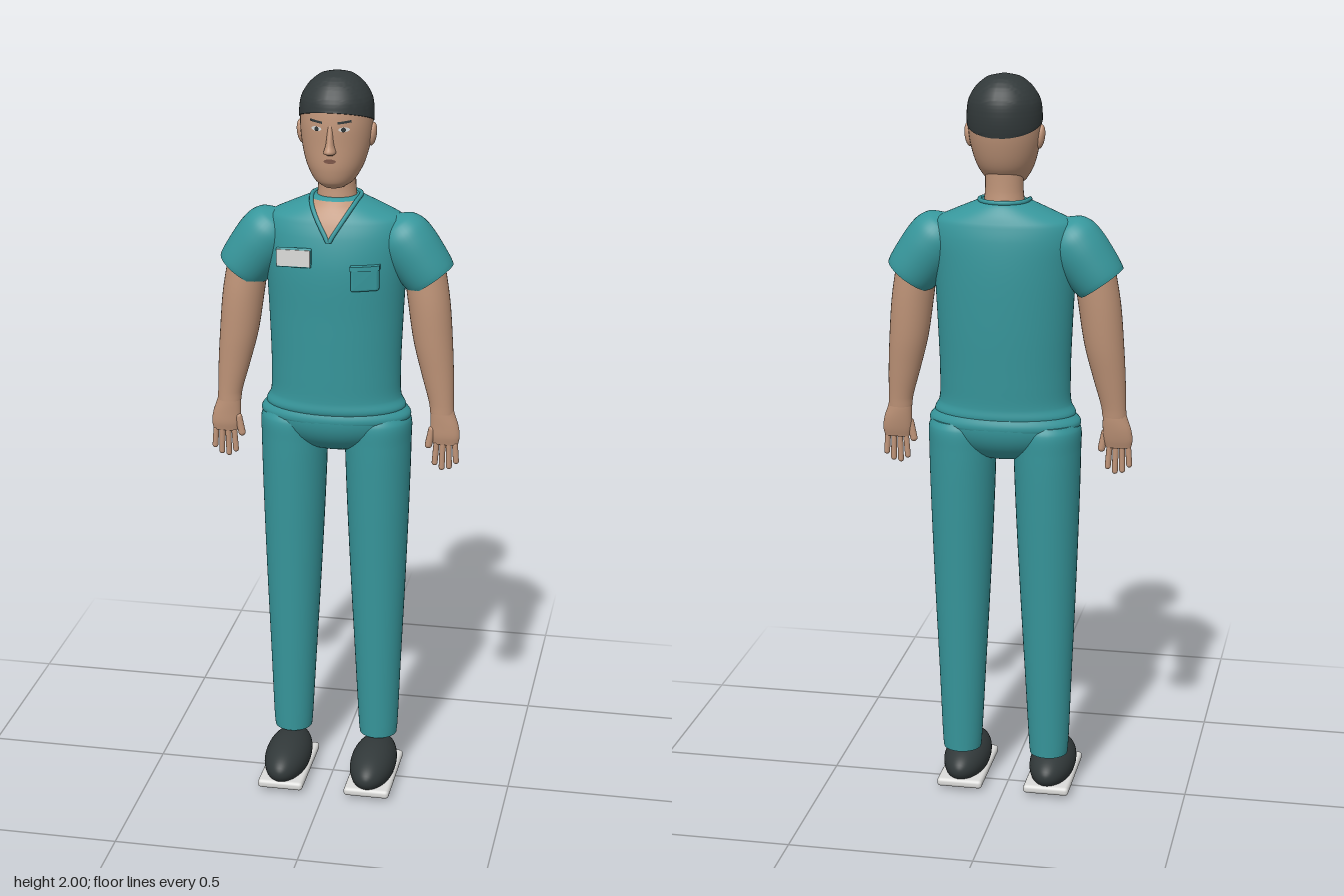
import * as THREE from 'three';
import { toCreasedNormals } from 'three/addons/utils/BufferGeometryUtils.js';
import { RoundedBoxGeometry } from 'three/addons/geometries/RoundedBoxGeometry.js';

// Smoothly resample rings [y, cx, cz, rx, rz]
function sampleRings(rings, n = 40) {
  const mid = new THREE.CatmullRomCurve3(rings.map(r => new THREE.Vector3(r[1], r[0], r[2])));
  const rad = new THREE.CatmullRomCurve3(rings.map(r => new THREE.Vector3(r[3], r[4], r[0])));
  return Array.from({ length: n + 1 }, (_, i) => {
    const m = mid.getPoint(i / n), r = rad.getPoint(i / n);
    return [m.y, m.x, m.z, Math.max(r.x, 0.0005), Math.max(r.y, 0.0005)];
  });
}

// Closed elliptical loft through the rings, bottom to top
function loft(rings, n = 40, seg = 40) {
  const rows = sampleRings(rings, n), pos = [], idx = [];
  const addRing = ([y, cx, cz, rx, rz]) => {
    for (let j = 0; j < seg; j++) {
      const a = j / seg * Math.PI * 2;
      pos.push(cx + rx * Math.cos(a), y, cz + rz * Math.sin(a));
    }
  };
  rows.forEach(addRing);
  for (let i = 0; i < n; i++) for (let j = 0; j < seg; j++) {
    const a = i * seg + j, b = i * seg + (j + 1) % seg;
    idx.push(a, a + seg, b, b, a + seg, b + seg);
  }
  for (const [row, top] of [[rows[0], false], [rows[n], true]]) {
    const s = pos.length / 3;
    addRing(row);
    pos.push(row[1], row[0], row[2]);
    for (let j = 0; j < seg; j++) {
      const a = s + j, b = s + (j + 1) % seg;
      idx.push(s + seg, top ? b : a, top ? a : b);
    }
  }
  const g = new THREE.BufferGeometry();
  g.setAttribute('position', new THREE.Float32BufferAttribute(pos, 3));
  g.setIndex(idx);
  g.computeVertexNormals();
  return g;
}

// Front surface depth of a loft at x, y
function frontZ(rings, x, y) {
  const rows = sampleRings(rings, 80);
  let i = rows.findIndex(r => r[0] >= y);
  if (i < 1) i = i < 0 ? rows.length - 1 : 1;
  const a = rows[i - 1], b = rows[i], t = THREE.MathUtils.clamp((y - a[0]) / (b[0] - a[0]), 0, 1);
  const [, cx, cz, rx, rz] = a.map((v, k) => v + (b[k] - v) * t);
  return cz + rz * Math.sqrt(Math.max(0, 1 - ((x - cx) / rx) ** 2));
}

// Lay a flat or thin geometry onto the front of a loft
function drape(rings, geo, offset) {
  const p = geo.attributes.position;
  for (let i = 0; i < p.count; i++) p.setZ(i, p.getZ(i) + offset + frontZ(rings, p.getX(i), p.getY(i)));
  geo.computeVertexNormals();
  return geo;
}

const TORSO = [
  [1.09, 0, -0.043, 0.186, 0.105], [1.105, 0, -0.043, 0.19, 0.111], [1.13, 0, -0.043, 0.178, 0.109],
  [1.2, 0, -0.044, 0.175, 0.112], [1.35, 0, -0.046, 0.18, 0.119], [1.5, 0, -0.046, 0.188, 0.122],
  [1.58, 0, -0.05, 0.192, 0.112], [1.62, 0, -0.053, 0.18, 0.1], [1.645, 0, -0.055, 0.13, 0.087],
  [1.667, 0, -0.056, 0.078, 0.07], [1.675, 0, -0.056, 0.058, 0.058]];

const HEAD = [
  [1.705, 0, -0.02, 0.028, 0.035], [1.72, 0, -0.022, 0.05, 0.055], [1.76, 0, -0.034, 0.074, 0.078],
  [1.82, 0, -0.045, 0.09, 0.09], [1.88, 0, -0.05, 0.095, 0.095], [1.93, 0, -0.052, 0.09, 0.089],
  [1.965, 0, -0.054, 0.07, 0.069], [1.988, 0, -0.055, 0.042, 0.042], [1.998, 0, -0.055, 0.001, 0.001]];

export function createModel() {
  const model = new THREE.Group();
  const mat = (name, color, extra = {}) => new THREE.MeshStandardMaterial({ name, color, ...extra });
  const scrubs = mat('teal scrubs', 0x37979c);
  const skin = mat('skin', 0xc09579);
  const dark = mat('charcoal', 0x32393a);
  const white = mat('off white', 0xdcdcda);
  const lips = mat('lips', 0x7d5648);
  const add = (name, geo, material, parent = model) => {
    const m = new THREE.Mesh(geo, material);
    m.name = name;
    parent.add(m);
    return m;
  };

  // Shirt, pelvis and waistband
  add('shirt', loft(TORSO, 60, 56), scrubs);
  const pelvis = add('pelvis', new THREE.SphereGeometry(1, 40, 24, 0, Math.PI * 2, Math.PI / 2, Math.PI / 2), scrubs);
  pelvis.scale.set(0.198, 0.11, 0.114);
  pelvis.position.set(0, 1.08, -0.045);
  add('waistband', loft([[1.062, 0, -0.045, 0.19, 0.105], [1.072, 0, -0.045, 0.203, 0.113],
    [1.085, 0, -0.045, 0.203, 0.114], [1.105, 0, -0.045, 0.186, 0.107]], 12, 56), scrubs);

  // V neck opening and its trim
  const opening = new THREE.PlaneGeometry(1, 1, 10, 10);
  const op = opening.attributes.position;
  for (let i = 0; i < op.count; i++) {
    const t = op.getY(i) + 0.5;
    op.setXY(i, op.getX(i) * 0.112 * t, 1.575 + 0.094 * t);
  }
  add('neckOpening', drape(TORSO, opening, 0.003), skin);
  const collar = [];
  for (let i = -6; i <= 6; i++) {
    const t = Math.abs(i) / 6, x = 0.06 * i / 6, y = 1.573 + 0.095 * t;
    collar.push(new THREE.Vector3(x, y, frontZ(TORSO, x, y) + 0.003));
  }
  for (let i = 0; i <= 6; i++) {
    const a = Math.PI * i / 6;
    collar.push(new THREE.Vector3(0.064 * Math.cos(a), 1.674, -0.058 - 0.06 * Math.sin(a)));
  }
  add('collarTrim', new THREE.TubeGeometry(new THREE.CatmullRomCurve3(collar, true), 90, 0.006, 8, true), scrubs);

  // Chest pocket and blank name badge
  const pocket = new RoundedBoxGeometry(0.07, 0.068, 0.018, 3, 0.006).translate(0.096, 1.482, 0);
  add('chestPocket', drape(TORSO, pocket, 0.006), scrubs);
  add('pocketHem', drape(TORSO, new THREE.BoxGeometry(0.073, 0.012, 0.02, 6, 1, 1).translate(0.096, 1.51, 0), 0.007), scrubs);
  add('badgeBacking', new RoundedBoxGeometry(0.094, 0.052, 0.012, 2, 0.004), scrubs).position.set(-0.091, 1.53, 0.069);
  add('badge', new THREE.BoxGeometry(0.088, 0.044, 0.006), white).position.set(-0.091, 1.53, 0.074);

  // Neck and head
  add('neck', loft([[1.63, 0, -0.056, 0.056, 0.052], [1.67, 0, -0.056, 0.053, 0.049],
    [1.7, 0, -0.056, 0.05, 0.046], [1.77, 0, -0.056, 0.05, 0.046]], 12, 32), skin);
  add('head', loft(HEAD, 60, 48), skin);

  // Cap: a slightly larger head shell cut along a slanted edge
  const cap = loft(HEAD, 90, 56);
  const cp = cap.attributes.position;
  for (let i = 0; i < cp.count; i++) {
    const z = -0.05 + (cp.getZ(i) + 0.05) * 1.03;
    const edge = 1.876 + (z + 0.05) * 0.34;
    cp.setXYZ(i, cp.getX(i) * 1.03, Math.max(cp.getY(i) + 0.002, edge), z);
  }
  add('cap', toCreasedNormals(cap, 0.7), dark);

  // Face
  add('nose', loft([[1.798, 0, 0.042, 0.008, 0.006], [1.806, 0, 0.046, 0.016, 0.022],
    [1.825, 0, 0.044, 0.011, 0.017], [1.875, 0, 0.04, 0.006, 0.006]], 16, 20), skin);
  const spot = (name, x, y, w, h, off, material) =>
    add(name, drape(HEAD, new THREE.CircleGeometry(1, 20).scale(w, h, 1).translate(x, y, 0), off), material);
  spot('mouth', 0, 1.783, 0.016, 0.006, 0.003, lips);
  for (const s of [-1, 1]) {
    spot('eyeWhite', s * 0.036, 1.866, 0.014, 0.006, 0.002, white);
    spot('iris', s * 0.035, 1.866, 0.006, 0.006, 0.004, dark);
    const brow = new THREE.PlaneGeometry(0.034, 0.006, 8, 1).rotateZ(s * 0.12).translate(s * 0.037, 1.885, 0);
    add('eyebrow', drape(HEAD, brow, 0.003), dark);
    const ear = add('ear', new THREE.SphereGeometry(1, 20, 14), skin);
    ear.scale.set(0.011, 0.031, 0.017);
    ear.position.set(s * 0.094, 1.838, -0.05);
    ear.rotation.z = -s * 0.12;
  }

  // Limbs on both sides
  for (const s of [-1, 1]) {
    const side = s > 0 ? 'left' : 'right';

    const arm = new THREE.Group();
    arm.name = side + 'Arm';
    model.add(arm);
    const sleeve = add('sleeve', loft([[0, 0, 0, 0.068, 0.068], [0.012, 0, 0, 0.071, 0.071], [0.05, 0, 0, 0.075, 0.075],
      [0.11, 0, 0, 0.077, 0.077], [0.145, 0, 0, 0.072, 0.072], [0.172, 0, 0, 0.057, 0.056], [0.195, 0, 0, 0.02, 0.02]]), scrubs, arm);
    sleeve.position.set(s * 0.256, 1.46, -0.045);
    sleeve.rotation.z = s * 0.62;
    add('forearm', loft([[1.095, s * 0.291, -0.026, 0.032, 0.026], [1.12, s * 0.289, -0.027, 0.033, 0.028],
      [1.2, s * 0.277, -0.031, 0.043, 0.038], [1.29, s * 0.263, -0.035, 0.052, 0.049], [1.4, s * 0.25, -0.038, 0.056, 0.056],
      [1.5, s * 0.235, -0.042, 0.055, 0.056]], 30, 32), skin, arm);
    add('palm', loft([[1.008, s * 0.302, -0.022, 0.034, 0.012], [1.03, s * 0.301, -0.023, 0.039, 0.018],
      [1.06, s * 0.298, -0.025, 0.038, 0.022], [1.09, s * 0.293, -0.026, 0.033, 0.024],
      [1.108, s * 0.291, -0.026, 0.03, 0.024]], 20, 28), skin, arm);
    [0.07, 0.082, 0.078, 0.062].forEach((len, i) => {
      const finger = add('finger', new THREE.CapsuleGeometry(0.008, len - 0.016, 5, 12), skin, arm);
      finger.position.set(s * (0.276 + i * 0.018), 1.015 - len / 2, -0.02);
      finger.rotation.z = s * (i - 1.5) * 0.05;
    });
    const thumb = add('thumb', new THREE.CapsuleGeometry(0.01, 0.045, 5, 12), skin, arm);
    thumb.position.set(s * 0.261, 1.025, -0.02);
    thumb.rotation.z = -s * 0.2;

    const leg = new THREE.Group();
    leg.name = side + 'Leg';
    model.add(leg);
    add('trouserLeg', loft([[0.12, s * 0.122, -0.042, 0.052, 0.051], [0.14, s * 0.122, -0.042, 0.054, 0.052],
      [0.35, s * 0.12, -0.043, 0.064, 0.063], [0.6, s * 0.118, -0.045, 0.076, 0.076],
      [0.85, s * 0.116, -0.047, 0.086, 0.09], [1.0, s * 0.115, -0.048, 0.09, 0.097],
      [1.06, s * 0.115, -0.048, 0.09, 0.097], [1.08, s * 0.115, -0.048, 0.082, 0.088]], 50, 36), scrubs, leg);

    // Clog with a pointed toe on a flat sole
    const shoe = new THREE.SphereGeometry(1, 36, 28).rotateX(Math.PI / 2).scale(0.063, 0.059, 0.136);
    add('shoe', shoe, dark, leg).position.set(s * 0.122, 0.06, 0.032);
    add('sole', new RoundedBoxGeometry(0.127, 0.024, 0.258, 3, 0.01), white, leg).position.set(s * 0.122, 0.023, 0.03);
  }
  return model;
}
